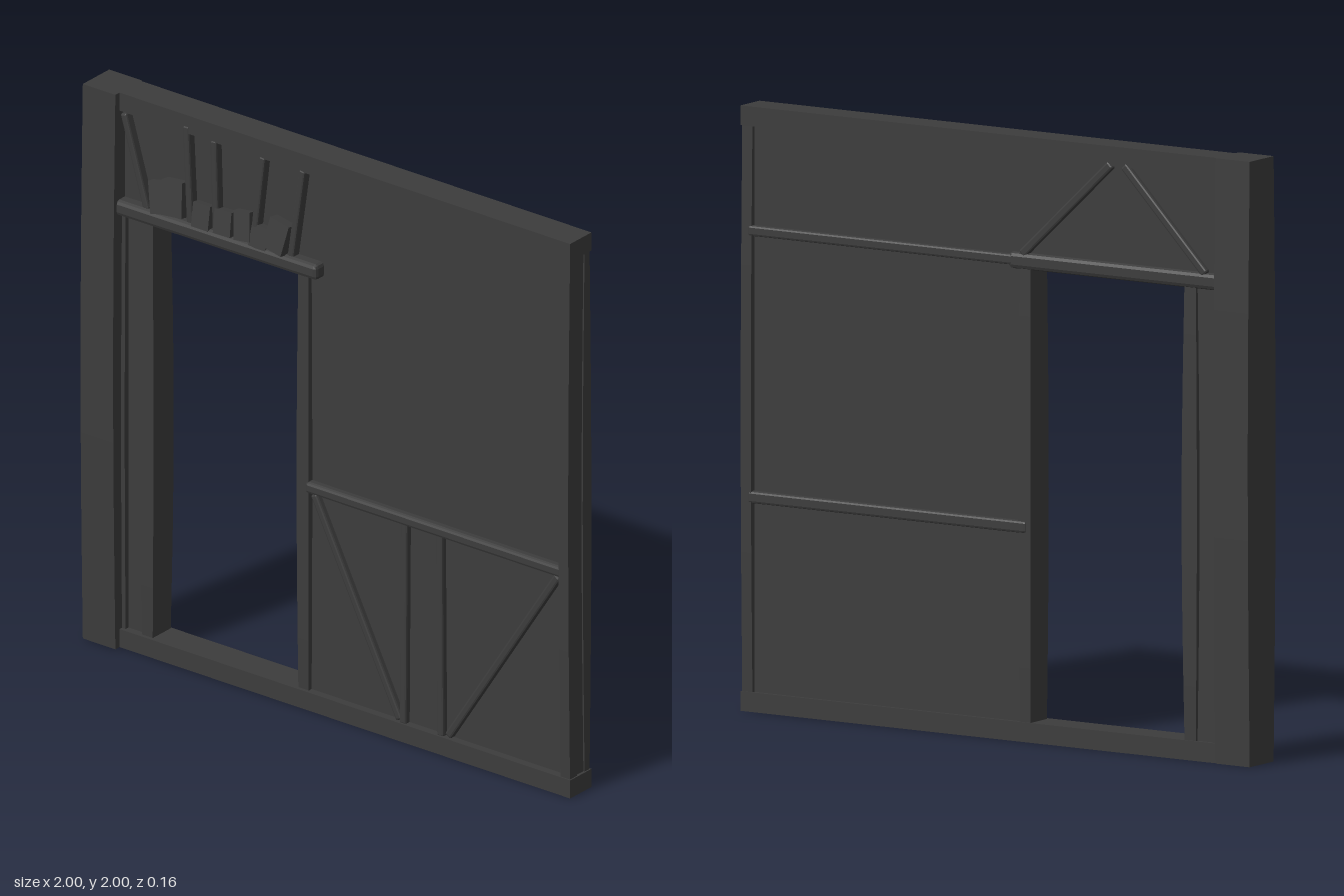
import * as THREE from 'three';
import { RoundedBoxGeometry } from 'three/addons/geometries/RoundedBoxGeometry.js';

const timber = new THREE.MeshStandardMaterial({ color: 0x3c3c3c, flatShading: true });

export function createModel() {
  const model = new THREE.Group();

  function add(name, geometry, x = 0, y = 0, z = 0) {
    const mesh = new THREE.Mesh(geometry, timber);
    mesh.name = name;
    mesh.position.set(x, y, z);
    model.add(mesh);
    return mesh;
  }

  // Straight timber given by its limits on each axis
  function block(name, x0, x1, y0, y1, z0, z1) {
    return add(name, new THREE.BoxGeometry(x1 - x0, y1 - y0, z1 - z0),
      (x0 + x1) / 2, (y0 + y1) / 2, (z0 + z1) / 2);
  }

  // Chamfered stick running between two points of the wall plane
  function stick(name, ax, ay, bx, by, width, z0, z1) {
    const dx = bx - ax, dy = by - ay, depth = z1 - z0;
    const geometry = new RoundedBoxGeometry(width, Math.hypot(dx, dy), depth, 1,
      Math.min(width, depth) * 0.25);
    const mesh = add(name, geometry, (ax + bx) / 2, (ay + by) / 2, (z0 + z1) / 2);
    mesh.rotation.z = Math.atan2(-dx, dy);
    return mesh;
  }

  // Upright that swells towards mid height, in x by bx and in z by bz
  function post(name, x0, x1, y0, y1, z0, z1, bx, bz) {
    const w = x1 - x0, h = y1 - y0, d = z1 - z0;
    const geometry = new THREE.BoxGeometry(w, h, d, 1, 8, 1);
    const p = geometry.attributes.position;
    for (let i = 0; i < p.count; i++) {
      const swell = Math.cos((p.getY(i) / h) * Math.PI);
      p.setX(i, p.getX(i) + Math.sign(p.getX(i)) * bx * swell);
      p.setZ(i, p.getZ(i) + Math.sign(p.getZ(i)) * bz * swell);
    }
    geometry.computeVertexNormals();
    return add(name, geometry, (x0 + x1) / 2, (y0 + y1) / 2, (z0 + z1) / 2);
  }

  // Wall panel with the doorway cut out
  const outline = new THREE.Shape([
    [-0.9, 0.03], [-0.76, 0.03], [-0.76, 1.59], [-0.12, 1.59],
    [-0.12, 0.03], [0.99, 0.03], [0.99, 1.97], [-0.9, 1.97],
  ].map(([x, y]) => new THREE.Vector2(x, y)));
  add('wallPanel', new THREE.ExtrudeGeometry(outline, { depth: 0.07, bevelEnabled: false }), 0, 0, -0.055);

  // Main frame
  block('sillBeam', -0.88, 1, 0, 0.065, -0.07, 0.043);
  block('topBeam', -0.88, 1, 1.935, 2, -0.07, 0.043);
  post('cornerPost', -1, -0.865, 0, 2, -0.075, 0.065, 0, 0.012);
  post('farPostFront', 0.955, 0.995, 0.05, 1.95, 0, 0.037, 0, 0.01);
  post('farPostBack', 0.955, 0.995, 0.05, 1.95, -0.066, -0.04, 0, 0.01);
  post('cornerStripFront', -0.87, -0.85, 0.05, 1.59, 0, 0.03, 0, 0.005);
  post('cornerStripBack', -0.87, -0.85, 0.05, 1.59, -0.065, -0.04, 0, 0.005);

  // Door frame
  post('doorPostInner', -0.782, -0.738, 0.05, 1.6, -0.065, 0.03, 0.008, 0.006);
  post('doorPostOuter', -0.135, -0.092, 0.05, 1.6, -0.065, 0.03, 0.003, 0.006);
  stick('lintelFront', -0.88, 1.588, -0.04, 1.592, 0.055, -0.01, 0.058);
  stick('lintelBack', -0.88, 1.588, -0.05, 1.588, 0.055, -0.074, -0.02);

  // Lower front bracing
  stick('frontRail', -0.1, 0.8, 0.96, 0.8, 0.04, 0, 0.042);
  [[-0.07, 0.78, 0.285, 0.07], [0.305, 0.79, 0.3, 0.06],
    [0.45, 0.79, 0.455, 0.06], [0.94, 0.78, 0.485, 0.07]]
    .forEach((s) => stick('frontBrace', ...s, 0.028, 0, 0.036));

  // Sticks above the door
  [[-0.85, 1.93, -0.755, 1.61], [-0.592, 1.96, -0.575, 1.61], [-0.478, 1.94, -0.468, 1.61],
    [-0.275, 1.94, -0.315, 1.61], [-0.11, 1.94, -0.16, 1.6]]
    .forEach((s) => stick('upperStick', ...s, 0.026, 0, 0.045));

  // Stones leaning along the lintel: x, y, width, height, front z, tilt
  [[-0.705, 1.665, 0.065, 0.11, 0.05, 0.2], [-0.635, 1.685, 0.085, 0.12, 0.063, 0.1],
    [-0.525, 1.65, 0.07, 0.085, 0.05, 0], [-0.433, 1.655, 0.07, 0.085, 0.053, 0.03],
    [-0.355, 1.665, 0.065, 0.1, 0.05, 0.12], [-0.285, 1.645, 0.07, 0.08, 0.05, -0.1],
    [-0.205, 1.675, 0.08, 0.11, 0.063, -0.2]]
    .forEach(([x, y, w, h, front, tilt]) => {
      const stone = block('stone', x - w / 2, x + w / 2, y - h / 2, y + h / 2, -0.01, front);
      stone.rotation.set(-0.15, 0, tilt);
    });

  // Back rails and braces
  stick('backRailUpper', -0.1, 1.59, 0.97, 1.59, 0.035, -0.074, -0.045);
  stick('backRailLower', -0.12, 0.71, 0.97, 0.71, 0.04, -0.076, -0.045);
  stick('backBrace', -0.1, 1.61, -0.45, 1.94, 0.03, -0.072, -0.045);
  stick('backBrace', -0.5, 1.94, -0.82, 1.61, 0.03, -0.072, -0.045);

  return model;
}
